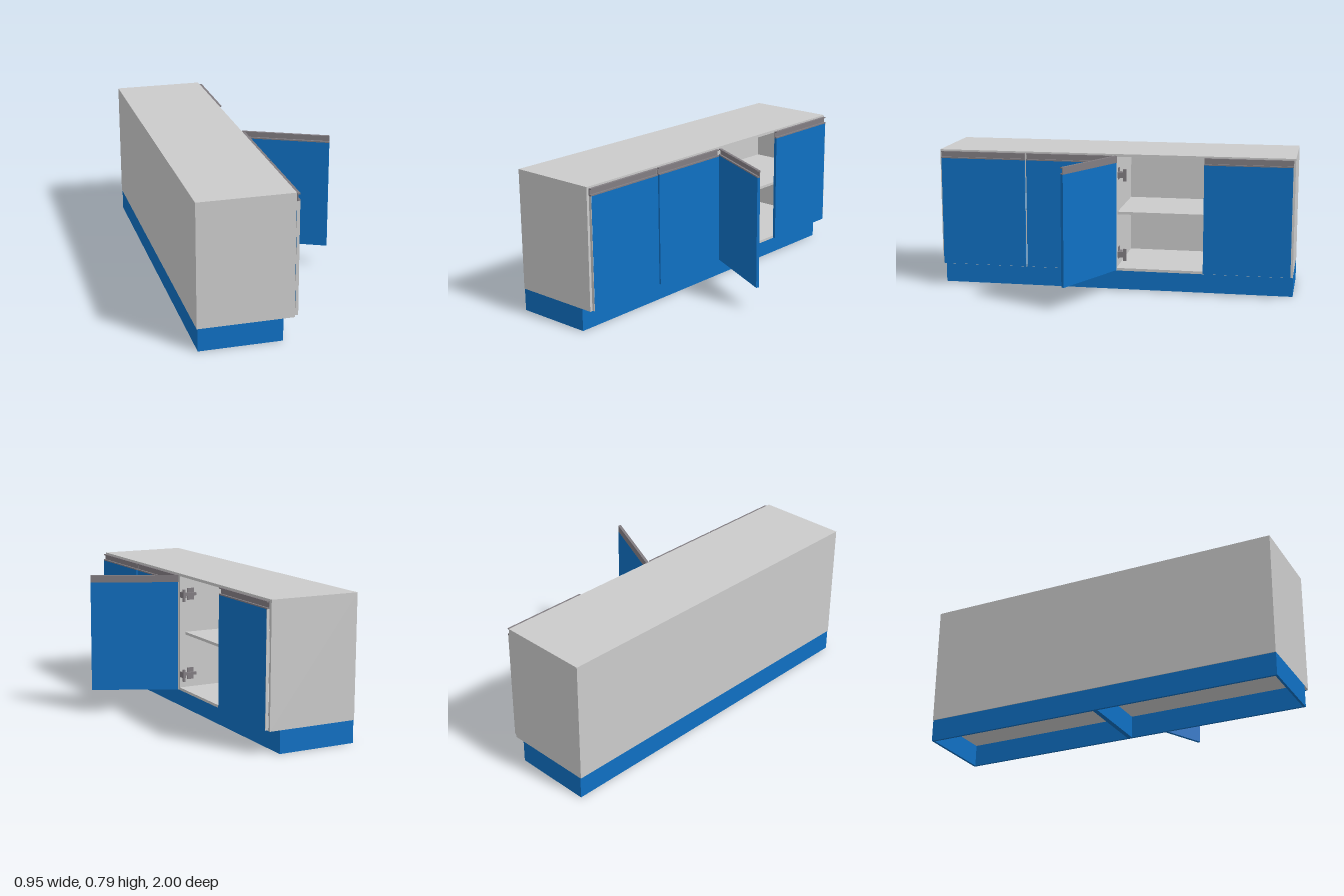
import * as THREE from 'three';

const grey = new THREE.MeshStandardMaterial({ color: 0xcccccc });
const blue = new THREE.MeshStandardMaterial({ color: 0x0f70c3 });
const dark = new THREE.MeshStandardMaterial({ color: 0x827d82 });

// Box given by its min and max on each axis
function box(parent, name, mat, [x0, x1], [y0, y1], [z0, z1]) {
  const mesh = new THREE.Mesh(new THREE.BoxGeometry(x1 - x0, y1 - y0, z1 - z0), mat);
  mesh.position.set((x0 + x1) / 2, (y0 + y1) / 2, (z0 + z1) / 2);
  mesh.name = name;
  parent.add(mesh);
  return mesh;
}

const span = (a, b) => [Math.min(a, b), Math.max(a, b)];
const T = 0.015;                                   // board thickness
const BACK = -0.477, FRONT = 0.025, LOW = 0.122, HIGH = 0.785;

// Carcass of one cabinet, between z0 and z1
function cabinet(z0, z1) {
  const g = new THREE.Group();
  g.name = 'cabinet';
  const inner = [z0 + T, z1 - T];
  box(g, 'sidePanel', grey, [BACK, FRONT], [LOW, HIGH], [z0, z0 + T]);
  box(g, 'sidePanel', grey, [BACK, FRONT], [LOW, HIGH], [z1 - T, z1]);
  box(g, 'bottomPanel', grey, [BACK, FRONT], [LOW, LOW + T], inner);
  box(g, 'topPanel', grey, [BACK, FRONT], [HIGH - T, HIGH], inner);
  box(g, 'backPanel', grey, [BACK, BACK + 0.008], [LOW + T, HIGH - T], inner);
  box(g, 'shelf', grey, [BACK + 0.008, -0.01], [0.438, 0.453], inner);
  return g;
}

// Plinth frame, open above and below
function plinth(z0, z1) {
  const g = new THREE.Group();
  g.name = 'plinth';
  const x0 = -0.473, x1 = -0.034, t = 0.013, y = [0, LOW];
  box(g, 'plinthBack', blue, [x0, x0 + t], y, [z0, z1]);
  box(g, 'plinthFront', blue, [x1 - t, x1], y, [z0, z1]);
  box(g, 'plinthEnd', blue, [x0 + t, x1 - t], y, [z0, z0 + t]);
  box(g, 'plinthEnd', blue, [x0 + t, x1 - t], y, [z1 - t, z1]);
  return g;
}

// Door running from its hinge edge at local z = 0 in direction dir, outside facing +x
function door(dir) {
  const g = new THREE.Group();
  g.name = 'door';
  const W = 0.485, D = 0.016, full = span(0, dir * W);
  box(g, 'doorPanel', blue, [0, D], [0.128, 0.738], span(dir * 0.002, dir * W));
  box(g, 'hingeEdge', grey, [0, D], [0.128, 0.738], span(0, dir * 0.002));
  // Channel-shaped grip rail along the top
  const rail = new THREE.Shape();
  [[0, 0.738], [D, 0.738], [D, 0.745], [0.005, 0.745], [0.005, 0.771], [D, 0.771], [D, 0.777], [0, 0.777]]
    .forEach(([x, y], i) => (i ? rail.lineTo(x, y) : rail.moveTo(x, y)));
  const grip = new THREE.Mesh(new THREE.ExtrudeGeometry(rail, { depth: W, bevelEnabled: false }), dark);
  grip.position.z = full[0];
  grip.name = 'gripRail';
  g.add(grip);
  return g;
}

// Hinge fixed to a side panel whose inner face is at z, reaching inward along dir
function hinge(y, z, dir) {
  const g = new THREE.Group();
  g.name = 'hinge';
  const at = (a, b) => span(z + dir * a, z + dir * b);
  box(g, 'mountingPlate', dark, [-0.06, -0.02], [y - 0.033, y + 0.033], at(0, 0.005));
  box(g, 'hingeArm', dark, [-0.07, 0.02], [y - 0.008, y + 0.008], at(0.005, 0.018));
  box(g, 'hingeLink', dark, [0.005, 0.025], [y - 0.016, y + 0.016], at(0.005, 0.04));
  box(g, 'cupFlange', dark, [0.018, 0.029], [y - 0.034, y + 0.034], at(0.038, 0.056));
  return g;
}

export function createModel() {
  const model = new THREE.Group();
  model.name = 'sideboard';
  for (const z0 of [-1, 0]) model.add(cabinet(z0, z0 + 1), plinth(z0, z0 + 1));

  // Hinge edge z, direction of the door, opening angle in degrees
  const doors = [[0.99, -1, 0], [0.01, 1, 0], [-0.02, -1, 115.5], [-0.99, 1, 0]];
  for (const [z, dir, angle] of doors) {
    const d = door(dir);
    d.position.set(angle ? 0.037 : 0.03, 0, z);
    d.rotation.y = dir * THREE.MathUtils.degToRad(angle);
    model.add(d);
    const wall = Math.round(z) + dir * T;
    for (const y of [0.214, 0.667]) model.add(hinge(y, wall, dir));
  }
  return model;
}
